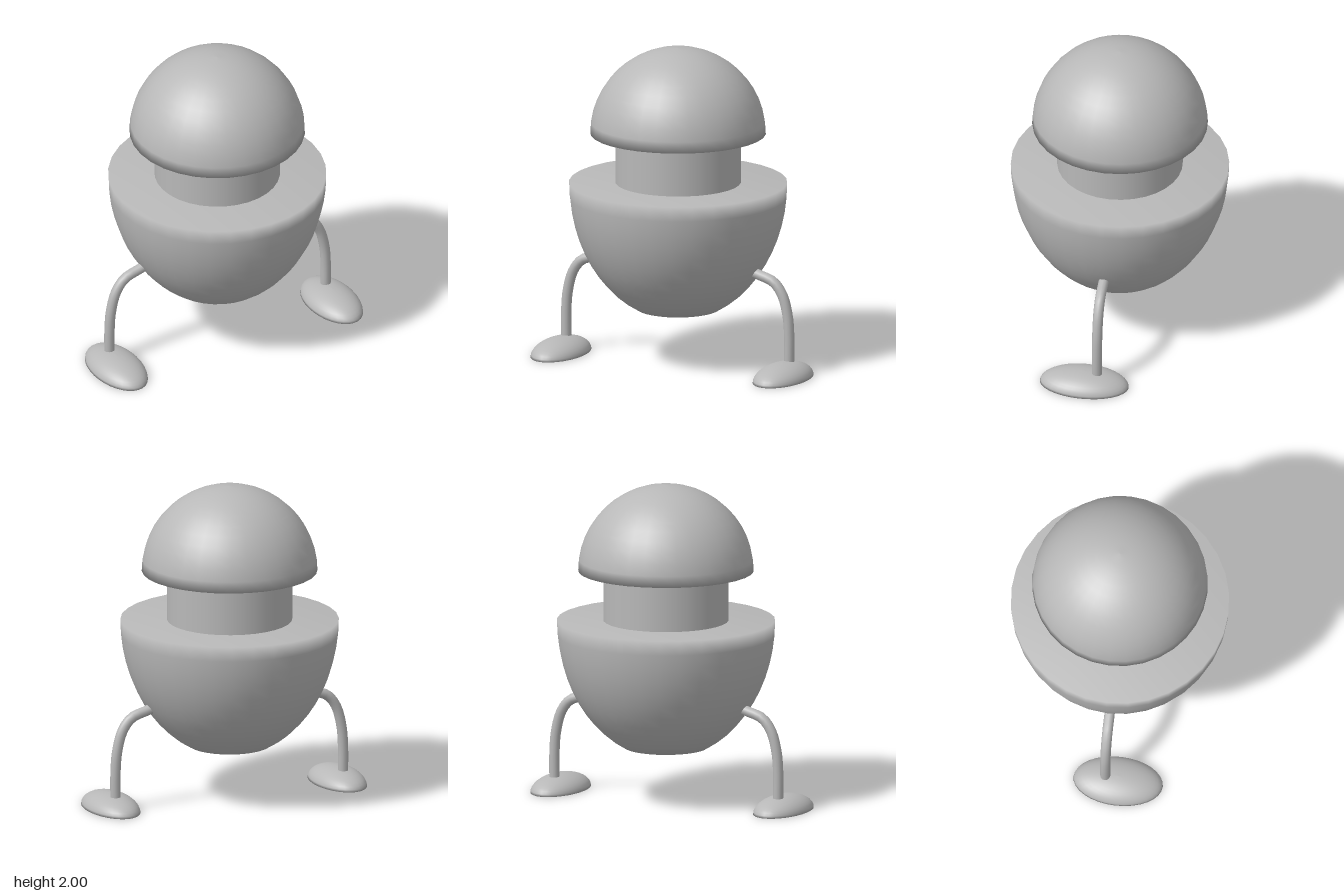
import * as THREE from 'three';

const grey = new THREE.MeshStandardMaterial({ color: 0xb8b8b8 });
grey.name = 'grey';

function add(parent, name, geometry) {
  const mesh = new THREE.Mesh(geometry, grey);
  mesh.name = name;
  parent.add(mesh);
  return mesh;
}

// Closed solid of revolution; the profile runs from bottom to top
const lathe = (points) => new THREE.LatheGeometry(points, 32);

// Elliptical arc around (0, cy), between two angles above the horizontal
function arc(radius, height, cy, from, to, steps) {
  return Array.from({ length: steps + 1 }, (_, i) => {
    const a = from + (to - from) * i / steps;
    return new THREE.Vector2(Math.max(0, radius * Math.cos(a)), cy + height * Math.sin(a));
  });
}

export function createModel() {
  const model = new THREE.Group();
  model.name = 'walkingPod';

  // Bowl-shaped body with flat top and bottom
  const bottomAngle = -Math.acos(0.26 / 0.675);
  add(model, 'body', lathe([
    new THREE.Vector2(0, 0.35),
    ...arc(0.675, 0.867, 1.15, bottomAngle, 0, 11),
    new THREE.Vector2(0, 1.15),
  ]));

  // Neck
  const neck = add(model, 'neck', new THREE.CylinderGeometry(0.388, 0.388, 0.36, 32));
  neck.position.y = 1.31;

  // Domed head with a flat underside
  add(model, 'head', lathe([
    new THREE.Vector2(0, 1.46),
    ...arc(0.543, 0.54, 1.46, 0, Math.PI / 2, 12),
  ]));

  // Bent legs and half-ellipsoid feet
  for (const side of [1, -1]) {
    const prefix = side > 0 ? 'left' : 'right';
    const path = new THREE.CatmullRomCurve3([
      [0.46, 0.65], [0.56, 0.62], [0.66, 0.585], [0.72, 0.51],
      [0.757, 0.38], [0.768, 0.25], [0.768, 0.05],
    ].map(([x, y]) => new THREE.Vector3(side * x, y, 0.005)));
    add(model, prefix + 'Leg', new THREE.TubeGeometry(path, 20, 0.032, 12));

    const foot = add(model, prefix + 'Foot', lathe([
      new THREE.Vector2(0, 0),
      ...arc(1, 0.1, 0, 0, Math.PI / 2, 10),
    ]).scale(0.159, 1, 0.278));
    foot.position.set(side * 0.765, 0, 0.085);
  }
  return model;
}
